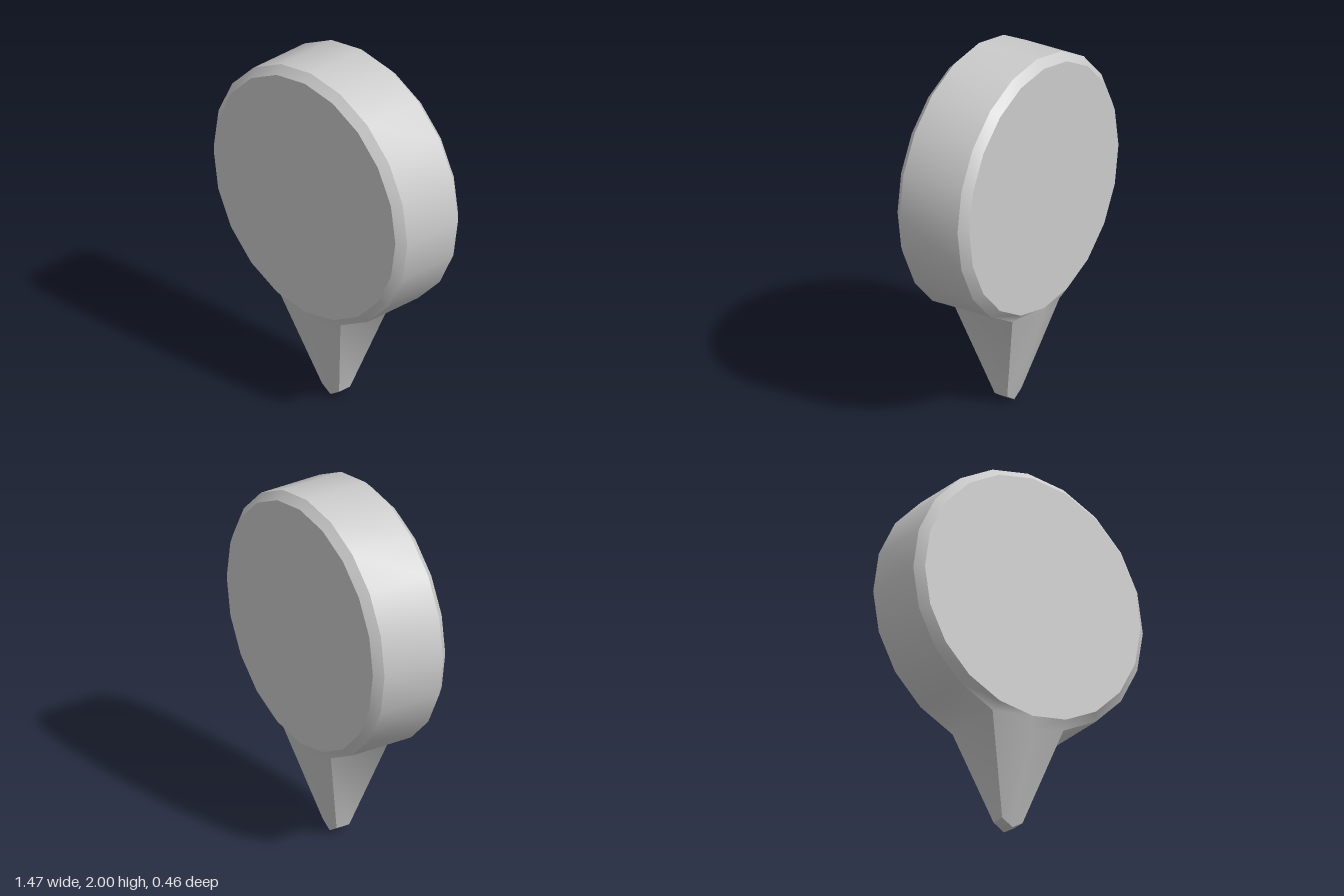
import * as THREE from 'three';
import { mergeGeometries, mergeVertices } from 'three/addons/utils/BufferGeometryUtils.js';

const SIDES = 20, CENTER_Y = 1.265;
const RIM_R = 0.735, RIM_Z = 0.186;
const FACE_R = 0.69, FACE_Z = 0.23;
const TIP_Z = 0.04;
const TIP = [[-0.065, 0.04], [0, 0], [0.065, 0.04]];

// Ring of points, counterclockwise from the lowest one
function ring(radius, z) {
  return Array.from({ length: SIDES }, (_, i) => {
    const a = -Math.PI / 2 + (i / SIDES) * Math.PI * 2;
    return [radius * Math.cos(a), CENTER_Y + radius * Math.sin(a), z];
  });
}

// Band of quads between two rows of points, smooth along its length
function strip(rowA, rowB) {
  const n = rowA.length, index = [];
  for (let i = 0; i < n - 1; i++) {
    index.push(i, n + i, i + 1, i + 1, n + i, n + i + 1);
  }
  const geometry = new THREE.BufferGeometry();
  geometry.setAttribute('position', new THREE.Float32BufferAttribute([...rowA, ...rowB].flat(), 3));
  geometry.setIndex(index);
  geometry.computeVertexNormals();
  return geometry;
}

const atDepth = (points, z) => points.map(([x, y]) => [x, y, z]);

export function createModel() {
  const group = new THREE.Group();
  const material = new THREE.MeshStandardMaterial({ color: 0xcccccc });
  const add = (name, geometry, parent = group) => {
    const mesh = new THREE.Mesh(geometry, material);
    mesh.name = name;
    parent.add(mesh);
    return mesh;
  };

  // Rim of the disc, running down into both flanks of the pointer
  const rim = ring(RIM_R, RIM_Z);
  const tip = atDepth(TIP, TIP_Z);
  const edge = [tip[2], ...rim.slice(1), tip[0]];
  const mirrorZ = (row) => row.map(([x, y, z]) => [x, y, -z]);
  add('rim', strip(edge, mirrorZ(edge)));

  // Blunt end of the pointer
  add('pointerTip', strip(tip, mirrorZ(tip)));

  // Bevel blended with the ridged slope of the pointer
  const outer = [[0, 0.5, 0.218], ...rim.slice(1)];
  const inner = ring(FACE_R, FACE_Z);
  const closed = (row) => [...row, row[0]];
  const slope = mergeGeometries([
    strip(closed(inner), closed(outer)),
    strip([outer[SIDES - 1], outer[0], outer[1]], tip),
  ]);
  slope.deleteAttribute('normal');
  const bevel = mergeVertices(slope);
  bevel.computeVertexNormals();

  // Flat disc face
  const disc = new THREE.CircleGeometry(FACE_R, SIDES, -Math.PI / 2);
  disc.translate(0, CENTER_Y, FACE_Z);

  // Same face on the front and the back
  for (const [name, turn] of [['front', 0], ['back', Math.PI]]) {
    const side = new THREE.Group();
    side.name = name + 'Side';
    side.rotation.y = turn;
    add(name + 'Face', disc, side);
    add(name + 'BevelAndPointer', bevel, side);
    group.add(side);
  }
  return group;
}
